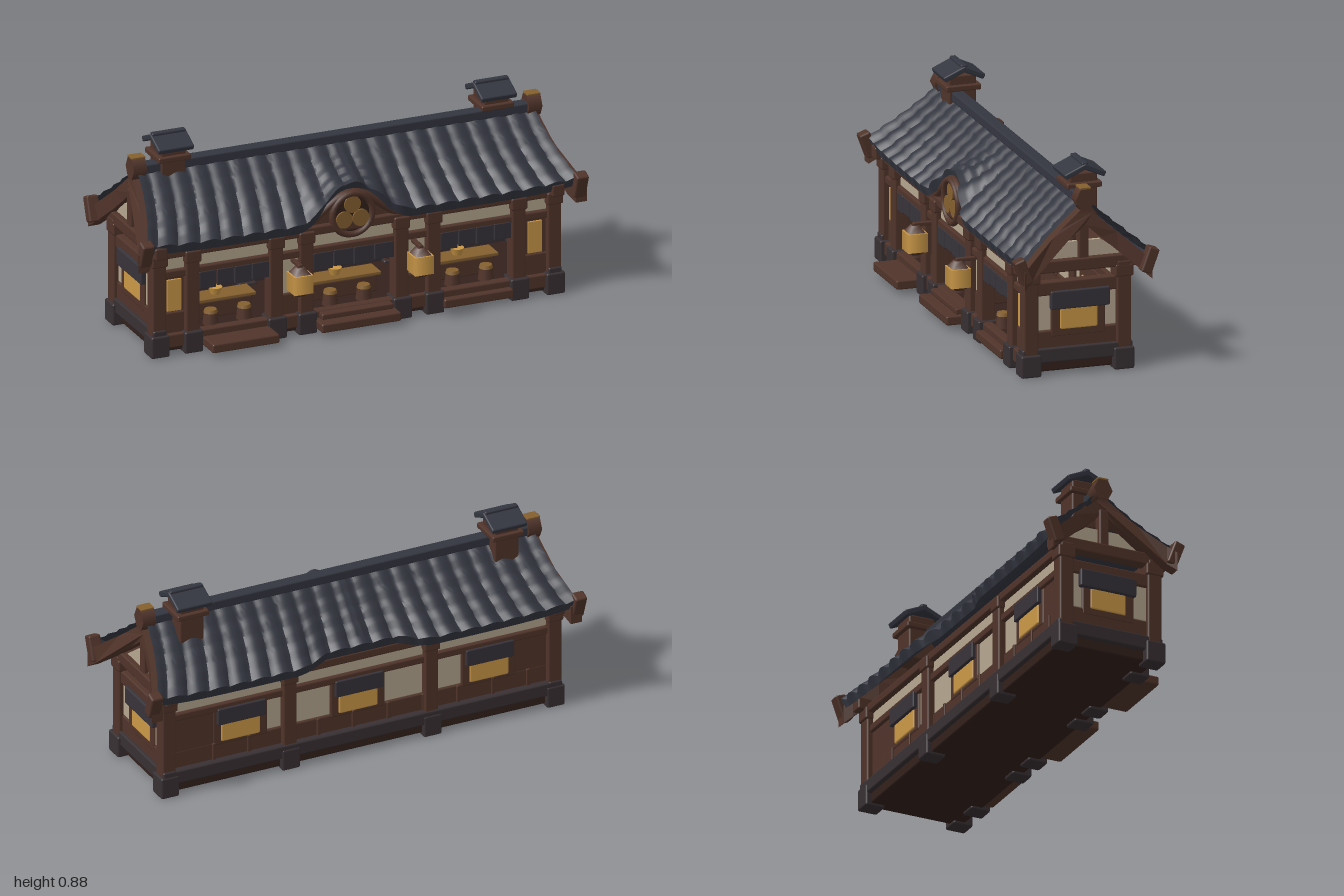
import * as THREE from 'three';
import { toCreasedNormals } from 'three/addons/utils/BufferGeometryUtils.js';
import { RoundedBoxGeometry } from 'three/addons/geometries/RoundedBoxGeometry.js';

const mat = (name, color, side = THREE.FrontSide) => {
  const m = new THREE.MeshStandardMaterial({ color, side });
  m.name = name;
  return m;
};
const M = {
  tile: mat('slate tile', 0x343640, THREE.DoubleSide),
  wood: mat('brown timber', 0x50342a),
  dark: mat('dark floor timber', 0x33211c),
  stone: mat('dark base', 0x383033),
  cloth: mat('curtain cloth', 0x37333a),
  cream: mat('cream plaster', 0xb5a68f),
  gold: mat('lit paper', 0xcb9847),
  bronze: mat('bronze', 0x85602f),
};
const RIDGE_Z = -0.045, ARCH_X = -0.03;

// Roof surface: t runs from ridge (0) to eave (1), s is +1 front, -1 back
const swell = (x, c, w) => (Math.abs(x - c) < w ? 0.5 + 0.5 * Math.cos((Math.PI * (x - c)) / w) : 0);
function roofPoint(u, t, s, under) {
  const x = u * (0.89 + 0.075 * t * t);
  const arch = s > 0 ? swell(u, ARCH_X, 0.27) : 0;
  const notch = s < 0 ? Math.min(1, 2 * swell(u, 0, 0.34)) : 0;
  const rib = Math.abs(Math.cos((Math.PI * u) / 0.1));
  const reach = s > 0 ? 0.285 - 0.05 * arch : 0.262 - 0.045 * notch;
  const z = RIDGE_Z + s * t * (reach + (under ? -0.004 : 0.014 * rib * t));
  let y = 0.735 - 0.25 * t + 0.135 * arch * t ** 1.6 + 0.02 * u ** 8 * t + 0.02 * notch * t;
  y += under ? -0.032 : 0.016 * rib + 0.01 * ((t * 4.999) % 1) - 0.012;
  return [x, y, z];
}
function roofGeometry() {
  const nx = 190, nt = 20, pos = [], idx = [], loop = [];
  for (let k = nt; k >= 0; k--) loop.push([k / nt, 1, false]);
  for (let k = 1; k <= nt; k++) loop.push([k / nt, -1, false]);
  for (let k = nt; k > 0; k -= 4) loop.push([k / nt, -1, true]);
  for (let k = 0; k <= nt; k += 4) loop.push([k / nt, 1, true]);
  const n = loop.length;
  for (let i = 0; i <= nx; i++)
    for (const [t, s, under] of loop) pos.push(...roofPoint((i / nx) * 2 - 1, t, s, under));
  for (let i = 0; i < nx; i++)
    for (let j = 0; j < n; j++) {
      const a = i * n + j, d = i * n + ((j + 1) % n);
      idx.push(a, a + n, d, a + n, d + n, d);
    }
  const g = new THREE.BufferGeometry();
  g.setAttribute('position', new THREE.Float32BufferAttribute(pos, 3));
  g.setIndex(idx);
  return toCreasedNormals(g, 0.7);
}

// Gable board: inverted V that flares outward toward the eaves
function bargeGeometry(s) {
  const top = [], low = [], n = 8;
  for (let k = -n; k <= n; k++) {
    const t = Math.abs(k) / n, z = RIDGE_Z + (k / n) * (k > 0 ? 0.295 : 0.265);
    top.push(new THREE.Vector2(-z, 0.715 - 0.235 * t));
    low.unshift(new THREE.Vector2(-z, 0.635 - 0.235 * t));
  }
  const g = new THREE.ExtrudeGeometry(new THREE.Shape([...top, ...low]), { depth: 0.05, bevelEnabled: false });
  g.rotateY(Math.PI / 2);
  const p = g.attributes.position;
  for (let i = 0; i < p.count; i++) {
    const t = Math.abs(p.getZ(i) - RIDGE_Z) / 0.28;
    p.setX(i, p.getX(i) + (s > 0 ? 0.86 + 0.085 * t * t : -0.91 - 0.085 * t * t));
  }
  g.computeVertexNormals();
  return g;
}

export function createModel() {
  const root = new THREE.Group();
  const add = (name, geo, m, x = 0, y = 0, z = 0, parent = root) => {
    const mesh = new THREE.Mesh(geo, m);
    mesh.name = name;
    mesh.position.set(x, y, z);
    parent.add(mesh);
    return mesh;
  };
  const box = (name, m, x0, x1, y0, y1, z0, z1, parent = root) => {
    const w = x1 - x0, h = y1 - y0, d = z1 - z0, r = Math.min(0.008, Math.min(w, h, d) * 0.25);
    return add(name, new RoundedBoxGeometry(w, h, d, 1, r), m, (x0 + x1) / 2, (y0 + y1) / 2, (z0 + z1) / 2, parent);
  };

  // Floor and base
  box('floor', M.dark, -0.9, 0.88, 0.012, 0.085, -0.235, 0.2);
  box('backSill', M.stone, -0.91, 0.89, 0.055, 0.115, -0.255, -0.2);
  box('frontSill', M.wood, -0.9, 0.88, 0.03, 0.09, 0.17, 0.215);
  box('leftStep', M.wood, -0.7, -0.4, 0.02, 0.06, 0.2, 0.32);
  box('centreStep', M.wood, -0.2, 0.155, 0.02, 0.06, 0.2, 0.295);
  box('centreUpperStep', M.wood, -0.18, 0.14, 0.06, 0.085, 0.2, 0.25);
  box('rightStep', M.wood, 0.37, 0.68, 0.02, 0.06, 0.2, 0.245);

  // Posts on dark feet
  const frontX = [-0.895, -0.745, -0.37, -0.235, 0.19, 0.335, 0.715, 0.875];
  const backX = [-0.895, -0.33, 0.32, 0.875];
  const post = (x, z) => {
    box('post', M.wood, x - 0.031, x + 0.031, 0.08, 0.44, z - 0.032, z + 0.032);
    box('postFoot', M.stone, x - 0.041, x + 0.041, 0, 0.095, z - 0.042, z + 0.046);
    box('postBracket', M.wood, x - 0.036, x + 0.036, 0.395, 0.45, z - 0.04, z + 0.04);
  };
  frontX.forEach((x) => post(x, 0.187));
  backX.forEach((x) => post(x, -0.217));

  // Long beams and plaster bands under the eaves
  for (const z of [0.187, -0.215]) {
    box('wallPlate', M.wood, -0.93, 0.91, 0.425, 0.465, z - 0.03, z + 0.03);
    box('lintel', M.wood, -0.9, 0.88, 0.335, 0.37, z - 0.022, z + 0.022);
    box('plasterBand', M.cream, -0.88, 0.86, 0.37, 0.425, z - 0.008, z + 0.008);
  }

  // Narrow front bays
  const narrow = (a, b, glow) => {
    box('lowPanel', M.wood, a, b, 0.08, 0.18, 0.165, 0.195);
    box('narrowWall', glow ? M.wood : M.cream, a, b, 0.18, 0.34, 0.17, 0.19);
    if (glow) box('narrowWindow', M.gold, (a + b) / 2 - 0.032, (a + b) / 2 + 0.032, 0.185, 0.325, 0.188, 0.197);
  };
  narrow(-0.87, -0.77, true);
  narrow(-0.345, -0.26, false);
  narrow(0.215, 0.31, false);
  narrow(0.74, 0.85, true);

  // Open front bays: hanging cloth, table, bowls and stools
  for (const [a, b] of [[-0.715, -0.4], [-0.205, 0.16], [0.365, 0.685]]) {
    const c = (a + b) / 2, w = (b - a) / 4;
    for (let k = 0; k < 4; k++)
      box('curtain', M.cloth, a + k * w + 0.002, a + (k + 1) * w - 0.002, 0.268 + 0.006 * (k % 2), 0.345, 0.198, 0.212);
    box('counter', M.wood, a + 0.03, b - 0.03, 0.085, 0.16, 0.02, 0.1);
    box('counterTop', M.bronze, a + 0.015, b - 0.015, 0.16, 0.175, 0.01, 0.11);
    for (const dx of [-0.08, 0.07]) {
      add('stool', new THREE.CylinderGeometry(0.028, 0.034, 0.05, 10), M.wood, c + dx, 0.11, 0.15);
      add('stoolCushion', new THREE.CylinderGeometry(0.026, 0.03, 0.014, 10), M.bronze, c + dx, 0.142, 0.15);
    }
    add('bowl', new THREE.CylinderGeometry(0.03, 0.02, 0.03, 10), M.gold, c - 0.02, 0.19, 0.06);
  }

  // Back wall with framed windows
  box('backLowWall', M.wood, -0.88, 0.86, 0.1, 0.19, -0.225, -0.195);
  box('backWall', M.cream, -0.88, 0.86, 0.19, 0.34, -0.218, -0.2);
  for (const x of [-0.6, 0, 0.54]) {
    box('backFrame', M.wood, x - 0.125, x + 0.125, 0.175, 0.34, -0.228, -0.19);
    box('backWindow', M.gold, x - 0.09, x + 0.09, 0.19, 0.28, -0.234, -0.184);
    box('backCurtain', M.cloth, x - 0.11, x + 0.11, 0.275, 0.35, -0.246, -0.226);
  }
  box('backPanel', M.wood, 0.66, 0.86, 0.18, 0.34, -0.224, -0.195);
  box('backPanel', M.wood, -0.88, -0.72, 0.18, 0.34, -0.224, -0.195);
  for (let x = -0.78; x < 0.8; x += 0.16) box('backBatten', M.wood, x - 0.008, x + 0.008, 0.11, 0.19, -0.232, -0.2);

  // End walls and gables
  for (const s of [-1, 1]) {
    const e = s * 0.885 - 0.01;
    const end = (name, m, d, y0, y1, z0, z1, out = 0) =>
      box(name, m, e + s * out - d, e + s * out + d, y0, y1, z0, z1);
    end('endSill', M.stone, 0.03, 0.055, 0.118, -0.255, 0.225);
    end('endLowWall', M.wood, 0.016, 0.1, 0.19, -0.2, 0.17);
    end('endWall', M.cream, 0.01, 0.19, 0.345, -0.19, 0.16);
    end('endFrame', M.wood, 0.018, 0.16, 0.345, -0.14, 0.098);
    end('endWindow', M.gold, 0.022, 0.19, 0.285, -0.105, 0.06);
    end('endCurtain', M.cloth, 0.014, 0.28, 0.36, -0.155, 0.102, 0.02);
    end('endLintel', M.wood, 0.022, 0.34, 0.4, -0.2, 0.17);
    end('tieBeam', M.wood, 0.028, 0.438, 0.492, -0.285, 0.25, 0.004);
    end('kingPost', M.wood, 0.022, 0.485, 0.65, -0.065, -0.02, 0.004);
    const gable = new THREE.Shape([[-0.14, 0.48], [0.23, 0.48], [0.12, 0.56], [-0.03, 0.56]].map((p) => new THREE.Vector2(...p)));
    const gg = new THREE.ExtrudeGeometry(gable, { depth: 0.016, bevelEnabled: false }).rotateY(Math.PI / 2);
    add('gablePlaster', gg, M.cream, e - 0.008);
    add('gableBoard', bargeGeometry(s), M.wood);
    // Rounded board ends at the eaves
    for (const [z, tilt] of [[0.25, 0.35], [-0.3, -0.35]])
      box('eaveEnd', M.wood, s * 0.972 - 0.027, s * 0.972 + 0.027, 0.425, 0.535, z - 0.024, z + 0.024).rotation.x = tilt;
    // Ridge end block
    const hex = add('ridgeEnd', new THREE.CylinderGeometry(0.05, 0.05, 0.06, 6), M.wood, s * 0.885, 0.742, RIDGE_Z);
    hex.rotation.set(0, 0, Math.PI / 2);
    hex.scale.z = 0.85;
    box('ridgeEndCap', M.bronze, s * 0.885 - 0.03, s * 0.885 + 0.03, 0.787, 0.795, RIDGE_Z - 0.024, RIDGE_Z + 0.024);
  }

  // Roof and ridge
  add('tiledRoof', roofGeometry(), M.tile);
  box('ridge', M.tile, -0.87, 0.87, 0.715, 0.758, RIDGE_Z - 0.028, RIDGE_Z + 0.028);

  // Arched front gable with round ornament
  const curve = [];
  for (let k = -10; k <= 10; k++) {
    const x = ARCH_X + k * 0.026;
    curve.push(new THREE.Vector3(x, 0.45 + 0.135 * swell(x, ARCH_X, 0.27), 0.2));
  }
  const archShape = new THREE.Shape([...curve, { x: 0.23, y: 0.43 }, { x: -0.29, y: 0.43 }].map((p) => new THREE.Vector2(p.x, p.y)));
  add('archPanel', new THREE.ExtrudeGeometry(archShape, { depth: 0.02, bevelEnabled: false }), M.wood, 0, 0, 0.175);
  add('archTrim', new THREE.TubeGeometry(new THREE.CatmullRomCurve3(curve), 30, 0.018, 8), M.wood);
  add('ornamentRing', new THREE.TorusGeometry(0.09, 0.014, 8, 28), M.wood, ARCH_X, 0.495, 0.212);
  add('ornamentDisc', new THREE.CylinderGeometry(0.09, 0.09, 0.02, 28).rotateX(Math.PI / 2), M.dark, ARCH_X, 0.495, 0.2);
  for (let k = 0; k < 3; k++) {
    const a = Math.PI / 2 + (k * Math.PI * 2) / 3;
    add('ornamentPetal', new THREE.CylinderGeometry(0.037, 0.037, 0.009, 18).rotateX(Math.PI / 2), M.bronze,
      ARCH_X + Math.cos(a) * 0.043, 0.495 + Math.sin(a) * 0.043, 0.213);
  }

  // Hanging lanterns
  for (const x of [-0.293, 0.247]) {
    const lamp = new THREE.Group();
    lamp.name = 'lantern';
    lamp.position.set(x, 0, 0.278);
    root.add(lamp);
    const part = (name, r0, r1, h, y, m) =>
      add(name, new THREE.CylinderGeometry(r0, r1, h, 4).rotateY(Math.PI / 4), m, 0, y, 0, lamp);
    part('lanternCap', 0.022, 0.05, 0.03, 0.312, M.wood);
    part('lanternBody', 0.06, 0.06, 0.08, 0.258, M.gold);
    part('lanternFoot', 0.052, 0.02, 0.02, 0.21, M.wood);
    box('lanternArm', M.wood, -0.01, 0.01, 0.322, 0.338, -0.08, 0.01, lamp);
  }

  // Chimneys with small pitched caps
  for (const [x, z, top] of [[-0.735, -0.065, 0.872], [0.72, -0.085, 0.862]]) {
    box('chimney', M.wood, x - 0.055, x + 0.055, 0.62, top - 0.045, z - 0.06, z + 0.06);
    box('chimneyBand', M.wood, x - 0.072, x + 0.072, top - 0.11, top - 0.085, z - 0.076, z + 0.076);
    for (const s of [-1, 1])
      box('chimneyCap', M.tile, x - 0.08, x + 0.08, top - 0.045, top - 0.021, z + s * 0.04 - 0.052, z + s * 0.04 + 0.052).rotation.x = s * 0.42;
    box('chimneyCapRidge', M.tile, x - 0.076, x + 0.076, top - 0.022, top + 0.004, z - 0.014, z + 0.014);
  }
  return root;
}
